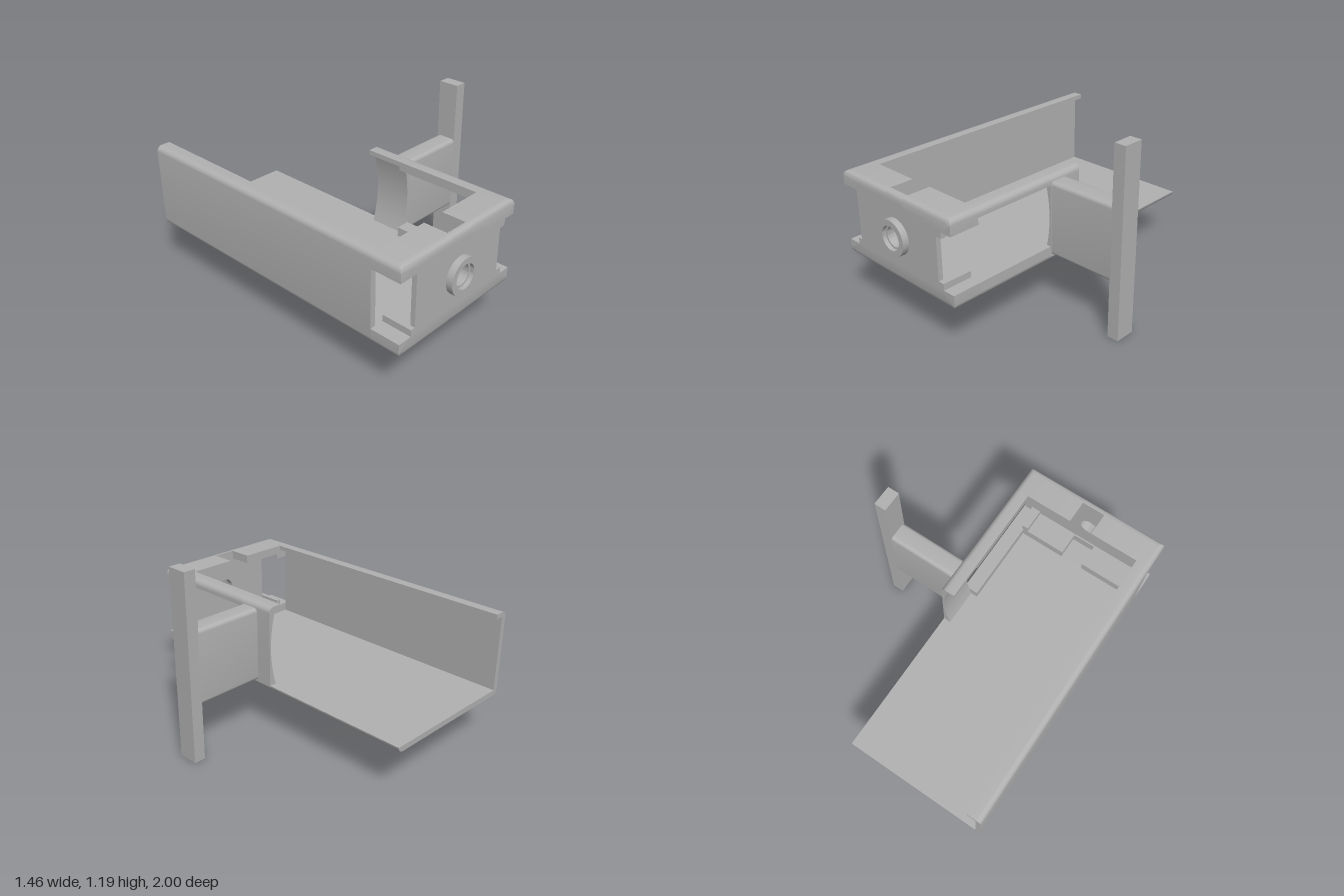
import * as THREE from 'three';
import { toCreasedNormals } from 'three/addons/utils/BufferGeometryUtils.js';

const X0 = -0.73, X1 = 0.21, Y0 = 0.325, Y1 = 0.865, FRONT = 0.96, R = 0.035;

// Quarter arc of points, counter-clockwise from angle a (in quarter turns)
function arc(cx, cy, r, a) {
  const pts = [];
  for (let i = 0; i <= 6; i++) {
    const t = (a + i / 6) * Math.PI / 2;
    pts.push([cx + r * Math.cos(t), cy + r * Math.sin(t)]);
  }
  return pts;
}
const toShape = pts => new THREE.Shape(pts.map(p => new THREE.Vector2(p[0], p[1])));
const mirrorY = pts => pts.map(([x, y]) => [x, Y0 + Y1 - y]).reverse();

export function createModel() {
  const group = new THREE.Group();
  const grey = new THREE.MeshStandardMaterial({ color: 0xb0b0b0 });
  grey.name = 'light grey';

  function add(name, geo, crease = 0.5) {
    const mesh = new THREE.Mesh(toCreasedNormals(geo, crease), grey);
    mesh.name = name;
    group.add(mesh);
    return mesh;
  }

  // Extrude an xy section along z; top and bottom edges round over near the front face
  function bar(name, shape, z0, z1) {
    const steps = z1 > 0.95 ? Math.round((z1 - z0) / 0.005) : 1;
    const geo = new THREE.ExtrudeGeometry(shape, { depth: z1 - z0, steps, bevelEnabled: false, curveSegments: 24 });
    geo.translate(0, 0, z0);
    const r = 0.03, p = geo.attributes.position;
    for (let i = 0; i < p.count; i++) {
      const t = Math.min(r, Math.max(0, p.getZ(i) - (FRONT - r)));
      const d = r - Math.sqrt(Math.max(0, r * r - t * t));
      p.setY(i, Math.min(Y1 - d, Math.max(Y0 + d, p.getY(i))));
    }
    return add(name, geo);
  }
  const rect = (x0, y0, x1, y1) => [[x0, y0], [x1, y0], [x1, y1], [x0, y1]];

  const bl = arc(X0 + R, Y0 + R, R, 2), br = arc(X1 - R, Y0 + R, R, 3);
  const tr = arc(X1 - R, Y1 - R, R, 0), tl = arc(X0 + R, Y1 - R, R, 1);

  // Floor, left wall and its inward lip
  bar('tray', toShape([
    ...bl, ...br, [X0 + R, Y0 + R], [X0 + R, Y1 - 0.03],
    [-0.64, Y1 - 0.03], [-0.64, Y1], ...tl,
  ]), -1, 0.77);

  // Front corner blocks with small steps beside the corner openings
  const lowerLeft = [...bl, [-0.33, Y0], [-0.33, 0.42], [-0.61, 0.42], [-0.61, 0.455],
    [-0.64, 0.455], [-0.64, 0.415], [X0, 0.415]];
  const right = [[-0.18, Y0], ...br, [X1, 0.42], [0.13, 0.42], [0.13, 0.46],
    [0.09, 0.46], [0.09, 0.42], [-0.18, 0.42]];
  const upperLeft = [[X0, 0.775], [-0.61, 0.775], [-0.61, 0.81], [-0.33, 0.81], [-0.33, Y1], ...tl];
  bar('lowerLeftBlock', toShape(lowerLeft), 0.77, FRONT);
  bar('lowerRightBlock', toShape(right), 0.77, FRONT);
  bar('upperLeftBlock', toShape(upperLeft), 0.77, FRONT);
  bar('upperRightBlock', toShape(mirrorY(right)), 0.77, FRONT);

  // Thin strips closing the notch between the blocks
  bar('notchFloor', toShape(rect(-0.33, Y0, -0.18, Y0 + R)), 0.77, 0.92);
  bar('lowerNotchStrip', toShape(rect(-0.33, Y0, -0.18, 0.42)), 0.92, FRONT);
  bar('upperNotchStrip', toShape(rect(-0.33, 0.81, -0.18, Y1)), 0.92, FRONT);

  // Front wall with round hole
  const wall = toShape(rect(-0.61, 0.42, 0.09, 0.81));
  const hole = new THREE.Path();
  hole.absarc(-0.26, 0.605, 0.063, 0, Math.PI * 2, true);
  wall.holes.push(hole);
  bar('frontWall', wall, 0.93, FRONT);

  // Raised collar around the hole
  const ring = [[0.063, -0.03], [0.112, -0.03], [0.112, 0.04], [0.075, 0.04], [0.075, 0.015], [0.063, 0.015], [0.063, -0.03]];
  const collar = new THREE.LatheGeometry(ring.map(p => new THREE.Vector2(p[0], p[1])), 48);
  collar.rotateX(Math.PI / 2);
  add('collar', collar).position.set(-0.26, 0.605, FRONT);

  // Side rails of the right opening
  bar('lowerRail', toShape(rect(0.12, Y0 + R, X1, 0.42)), 0.22, 0.77);
  bar('upperRail', toShape([[0.12, 0.81], [X1, 0.81], ...tr, [0.12, Y1]]), 0.22, 0.77);

  // Right side pad, hollowed on its inner face
  const hollow = [];
  for (let i = 0; i <= 16; i++) {
    const y = 0.835 - (0.835 - 0.35) * i / 16;
    hollow.push([0.2 - 0.028 * ((y - 0.6) / 0.21) ** 2, y]);
  }
  bar('sidePad', toShape([[X1, 0.35], ...tr, [0.12, Y1], [0.12, 0.835], ...hollow]), -0.02, 0.22);

  // Arm with rounded long edges
  const w = 0.065, h = 0.235, r = 0.025;
  const armShape = toShape([
    ...arc(w - r, h - r, r, 0), ...arc(-w + r, h - r, r, 1),
    ...arc(-w + r, -h + r, r, 2), ...arc(w - r, -h + r, r, 3),
  ]);
  const arm = new THREE.ExtrudeGeometry(armShape, { depth: 0.45, bevelEnabled: false });
  arm.rotateY(Math.PI / 2);
  add('arm', arm).position.set(0.205, 0.597, 0.15);

  // Upright post at the arm's end
  add('post', new THREE.BoxGeometry(0.075, 1.19, 0.13)).position.set(0.688, 0.595, 0.15);

  return group;
}
